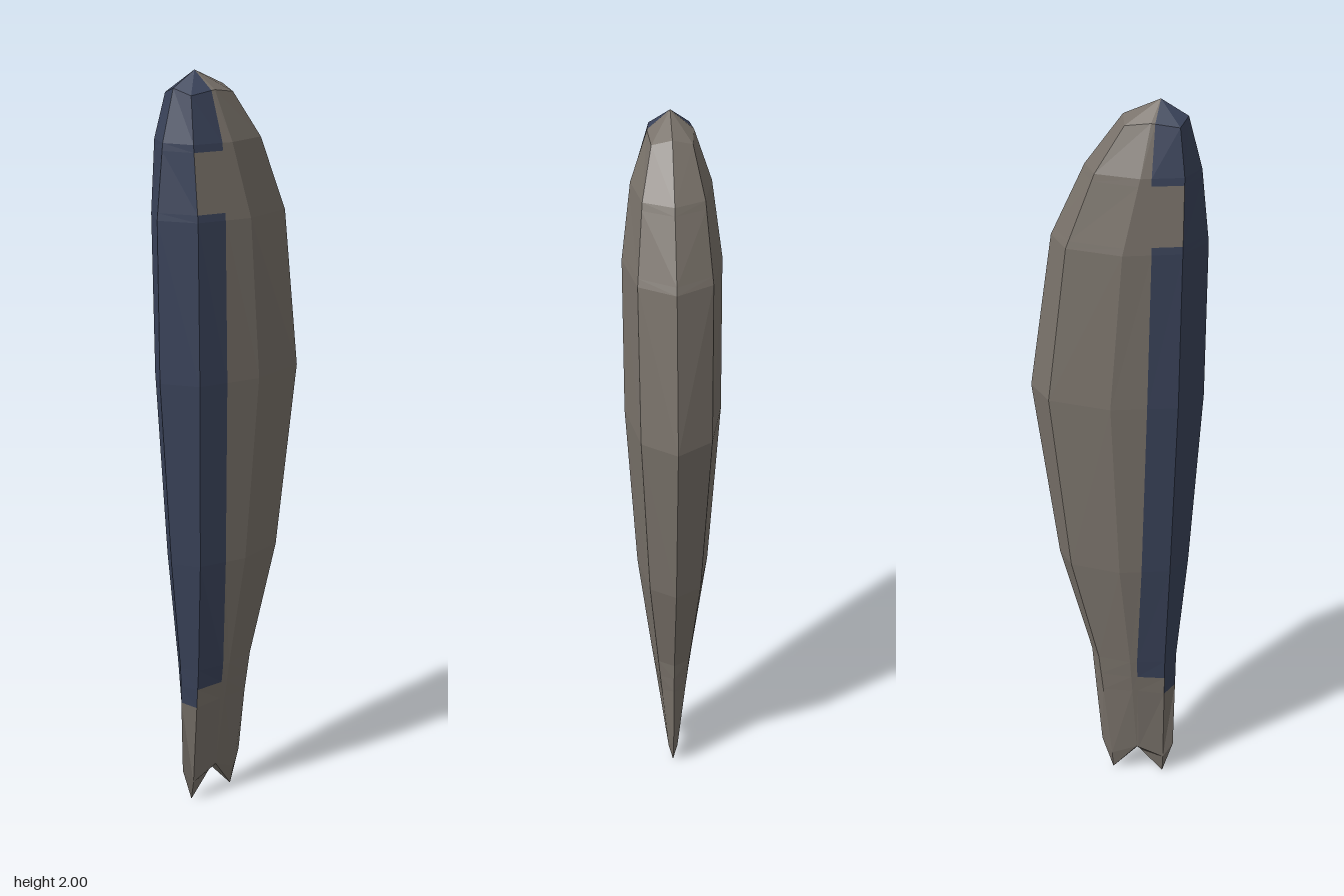
import * as THREE from 'three';

const mat = (name, color) => {
  const m = new THREE.MeshStandardMaterial({ color, flatShading: true });
  m.name = name;
  return m;
};

// Half cross-sections, top to bottom.
// y: heights of edge, crease and middle; x: back edge, back crease, middle, belly crease, belly edge;
// z: depths of crease and middle; b: x of the colour boundary
const SECTIONS = [
  { y: [1.96, 1.945, 1.955], x: [-0.175, -0.16, -0.09, -0.025, -0.015], z: [0.05, 0.057], b: -0.1 },
  { y: [1.83, 1.83, 1.83], x: [-0.21, -0.175, -0.07, 0.045, 0.08], z: [0.076, 0.1], b: -0.097 },
  { y: [1.64, 1.64, 1.64], x: [-0.23, -0.175, -0.03, 0.115, 0.167], z: [0.092, 0.125], b: -0.1 },
  { y: [1.22, 1.22, 1.22], x: [-0.227, -0.17, 0, 0.165, 0.226], z: [0.09, 0.125], b: -0.092 },
  { y: [0.72, 0.72, 0.72], x: [-0.195, -0.153, -0.02, 0.115, 0.157], z: [0.068, 0.096], b: -0.078 },
  { y: [0.41, 0.41, 0.41], x: [-0.167, -0.14, -0.045, 0.045, 0.07], z: [0.043, 0.06], b: -0.064 },
  { y: [0.1, 0.06, 0.095], x: [-0.162, -0.135, -0.06, 0.012, 0.042], z: [0.013, 0.02], b: -0.066 },
  { y: [0.003, 0.003, 0.08], x: [-0.132, -0.132, -0.06, 0.01, 0.01], z: [0, 0], b: -0.068 },
];

// Six points across one half: edge, crease, boundary, middle, crease, edge
function ring({ y, x, z, b }) {
  const edge = new THREE.Vector3(x[0], y[0], 0);
  const crease = new THREE.Vector3(x[1], y[1], z[0]);
  const middle = new THREE.Vector3(x[2], y[2], z[1]);
  const bound = crease.clone().lerp(middle, (b - x[1]) / (x[2] - x[1]));
  return [edge, crease, bound, middle,
    new THREE.Vector3(x[3], y[1], z[0]), new THREE.Vector3(x[4], y[0], 0)];
}

const between = (a, b, t) => a.map((p, i) => p.clone().lerp(b[i], t));

export function createModel() {
  const k = SECTIONS.map(ring);
  const apex = new THREE.Vector3(-0.107, 2, 0);
  // extra rings mark where the coloured patch starts and stops
  const rings = [
    k[0].map(() => apex), k[0], k[1],
    between(k[1], k[2], 0.1), between(k[1], k[2], 0.9),
    k[2], k[3], k[4], k[5],
    between(k[5], k[6], 0.17), between(k[5], k[6], 0.33),
    k[6], k[7],
  ];
  const isPatch = (row, col) =>
    (col === 0 && row < 10) || (col === 1 && row < 9 && row !== 3);

  const skin = { body: [], backPatch: [] };
  const triangle = (list, a, b, c) => {
    const area = b.clone().sub(a).cross(c.clone().sub(a)).length();
    if (area < 1e-7) return;
    for (const p of [a, b, c]) list.push(p.x, p.y, p.z);
    for (const p of [a, c, b]) list.push(p.x, p.y, -p.z); // mirrored half
  };
  for (let r = 0; r < rings.length - 1; r++) {
    for (let c = 0; c < 5; c++) {
      const list = isPatch(r, c) ? skin.backPatch : skin.body;
      const [tl, tr, bl, br] = [rings[r][c], rings[r][c + 1], rings[r + 1][c], rings[r + 1][c + 1]];
      triangle(list, tl, bl, br);
      triangle(list, tl, br, tr);
    }
  }

  const materials = {
    body: mat('greyBrown', 0x79726a),
    backPatch: mat('darkBlue', 0x3a435a),
  };
  const group = new THREE.Group();
  group.name = 'fish';
  for (const name of Object.keys(skin)) {
    const g = new THREE.BufferGeometry();
    g.setAttribute('position', new THREE.Float32BufferAttribute(skin[name], 3));
    g.computeVertexNormals();
    const mesh = new THREE.Mesh(g, materials[name]);
    mesh.name = name;
    group.add(mesh);
  }
  return group;
}
